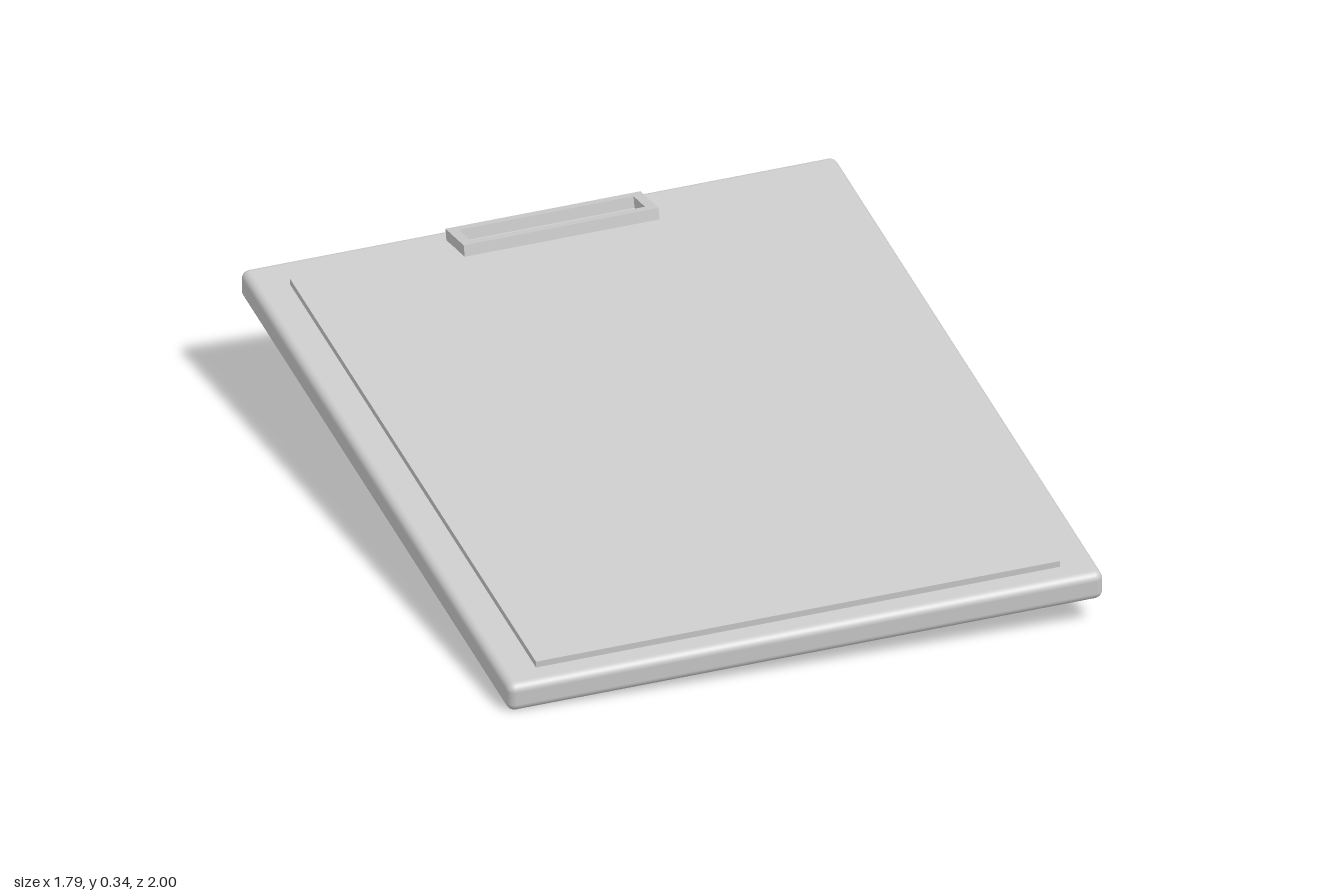
import * as THREE from 'three';
import { RoundedBoxGeometry } from 'three/addons/geometries/RoundedBoxGeometry.js';

const material = new THREE.MeshStandardMaterial({ color: 0xcccccc });

function part(name, geometry, x, y, z) {
  const mesh = new THREE.Mesh(geometry, material);
  mesh.name = name;
  mesh.position.set(x, y, z);
  return mesh;
}

// Flat rectangular ring lying in the xz plane, centred on its own middle
function frameGeometry(width, depth, thickness, rim) {
  const rect = (target, w, d) => target
    .moveTo(-w / 2, -d / 2).lineTo(w / 2, -d / 2)
    .lineTo(w / 2, d / 2).lineTo(-w / 2, d / 2).closePath();
  const shape = rect(new THREE.Shape(), width, depth);
  shape.holes.push(rect(new THREE.Path(), width - 2 * rim, depth - 2 * rim));
  return new THREE.ExtrudeGeometry(shape, { depth: thickness, bevelEnabled: false })
    .translate(0, 0, -thickness / 2)
    .rotateX(-Math.PI / 2);
}

export function createModel() {
  const group = new THREE.Group();
  group.name = 'clipboard';

  // Whole clipboard is turned sideways, then tipped up at the back
  const tilted = new THREE.Group();
  tilted.name = 'tiltedClipboard';
  tilted.rotation.set(0.129, 0.365, 0);
  tilted.position.set(0, 0.129, -0.004);
  group.add(tilted);

  // Backing board with softened edges
  const thick = 0.065;
  tilted.add(part('board', new RoundedBoxGeometry(1.29, thick, 1.675, 4, 0.018), 0, thick / 2, 0));

  // Sheet of paper, slightly raised above the board
  tilted.add(part('paper', new THREE.BoxGeometry(1.135, 0.016, 1.53), 0, thick + 0.006, 0.02));

  // Open clip frame straddling the paper's top edge, its front lifted
  const clip = part('clip', frameGeometry(0.422, 0.118, 0.025, 0.022), 0, thick + 0.026, -0.743);
  clip.rotation.x = -0.25;
  tilted.add(clip);

  return group;
}
